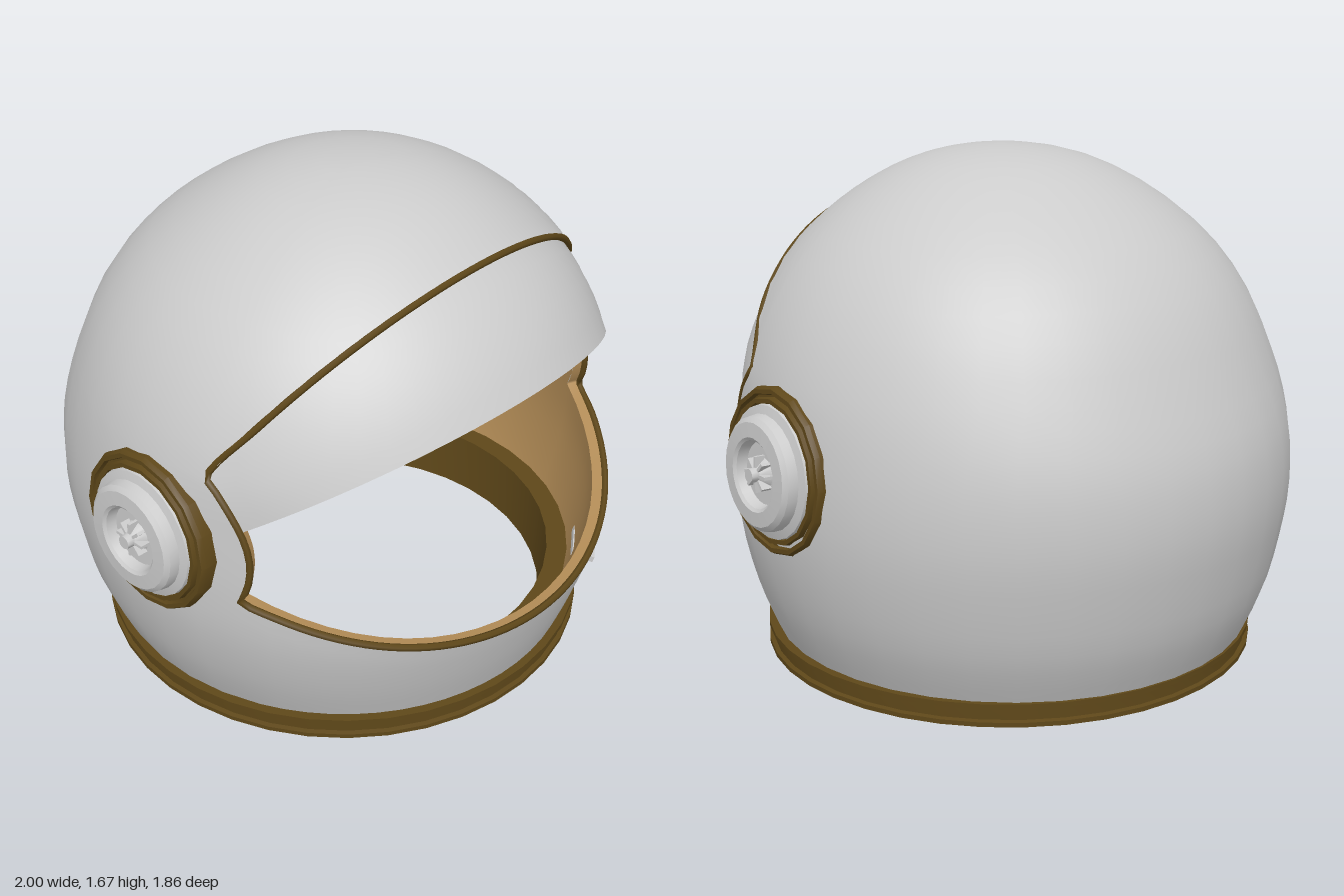
import * as THREE from 'three';
import { mergeGeometries, mergeVertices, toCreasedNormals } from 'three/addons/utils/BufferGeometryUtils.js';

const V2 = (x, y) => new THREE.Vector2(x, y);
const mat = (color) => new THREE.MeshStandardMaterial({ color, side: THREE.DoubleSide });

// Horizontal sections of the shell: height, half width, front z, back z.
// The last row mirrors the one below the crown so the top stays round.
const rows = [
  [0.07, 0.80, 0.83, -0.79], [0.23, 0.865, 0.885, -0.86], [0.42, 0.91, 0.935, -0.905],
  [0.60, 0.925, 0.945, -0.93], [0.80, 0.915, 0.945, -0.915], [1.01, 0.88, 0.92, -0.84],
  [1.22, 0.79, 0.83, -0.74], [1.40, 0.65, 0.69, -0.59], [1.55, 0.45, 0.50, -0.38],
  [1.64, 0.24, 0.30, -0.17], [1.67, 0, 0.07, 0.07], [1.64, -0.24, -0.17, 0.30],
];
const LOW = 3, HIGH = 5, CROWN = 10;
const widths = new THREE.SplineCurve(rows.map((r) => V2(r[0], r[1])));
const depths = new THREE.SplineCurve(rows.map((r) => V2(r[2], r[3])));

// Angle of the opening's side edge at row v
function edgeAngle(v) {
  const k = THREE.MathUtils.clamp(v, LOW, HIGH);
  const d = depths.getPoint(k / 11), e = k - 4;
  const z = 0.42 - 0.06 * e - 0.08 * e * e;
  return Math.acos((z - (d.x + d.y) / 2) / ((d.x - d.y) / 2));
}

// Point on the shell: c 0..1 runs across the front, 1..2 around the back
function shellPoint(v, c, inset = 0) {
  const w = widths.getPoint(v / 11), d = depths.getPoint(v / 11);
  const e = edgeAngle(v), k = 1 - inset / 0.92;
  const a = c <= 1 ? (2 * c - 1) * e : e + (c - 1) * (2 * Math.PI - 2 * e);
  const y = w.x > 0.75 ? 0.75 + (w.x - 0.75) * k : w.x;
  const mid = (d.x + d.y) / 2, r = (d.x - d.y) / 2;
  return new THREE.Vector3(w.y * k * Math.sin(a), y, 0.03 + (mid - 0.03 + r * Math.cos(a)) * k);
}

// Row at which column c crosses the sloping plane y = y0 + slope * (z - z0)
function cut(c, lo, hi, y0, z0, slope) {
  for (let i = 0; i < 40; i++) {
    const m = (lo + hi) / 2, p = shellPoint(m, c);
    if (p.y - y0 - slope * (p.z - z0) < 0) lo = m; else hi = m;
  }
  return (lo + hi) / 2;
}
const lowerEdge = (c) => (c <= 0 || c >= 1 ? LOW : cut(c, 0, LOW, 0.60, 0.40, -0.434));
const upperEdge = (c) => (c <= 0 || c >= 1 ? HIGH : cut(c, HIGH, CROWN, 1.01, 0.28, 1.62));
const visorEdge = (c) => cut(c, LOW, upperEdge(c), 0.85, 0.40, 0.717);

// Grid surface from fn(s, t), s and t in 0..1
function sheet(fn, nu, nv) {
  const pos = [], idx = [];
  for (let j = 0; j <= nv; j++)
    for (let i = 0; i <= nu; i++) pos.push(...fn(i / nu, j / nv).toArray());
  for (let j = 0; j < nv; j++)
    for (let i = 0; i < nu; i++) {
      const a = j * (nu + 1) + i, b = a + nu + 1;
      idx.push(a, a + 1, b, a + 1, b + 1, b);
    }
  const g = new THREE.BufferGeometry();
  g.setAttribute('position', new THREE.Float32BufferAttribute(pos, 3));
  g.setIndex(idx);
  g.computeVertexNormals();
  return g;
}

// Whole shell layer: band under the opening, band behind it, dome above it
function shellLayer(inset) {
  const g = mergeGeometries([
    sheet((s, t) => shellPoint(t * lowerEdge(2 * s), 2 * s, inset), 48, 8),
    sheet((s, t) => shellPoint(LOW + t * (HIGH - LOW), 1 + s, inset), 24, 6),
    sheet((s, t) => {
      const v = upperEdge(2 * s);
      return shellPoint(v + t * (CROWN - v), 2 * s, inset);
    }, 48, 12),
  ]);
  g.deleteAttribute('normal');
  const merged = mergeVertices(g, 1e-4);
  merged.computeVertexNormals();
  return merged;
}

// Point on the outline of the opening, s 0..4: bottom, left, top, right
function openingPoint(s, inset) {
  const k = s % 1;
  if (s < 1) return shellPoint(lowerEdge(k), k, inset);
  if (s < 2) return shellPoint(LOW + k * (HIGH - LOW), 1, inset);
  if (s < 3) return shellPoint(upperEdge(1 - k), 1 - k, inset);
  return shellPoint(HIGH - k * (HIGH - LOW), 0, inset);
}

function lathe(points, segments) {
  return toCreasedNormals(new THREE.LatheGeometry(points.map((p) => V2(...p)), segments), 0.6);
}

export function createModel() {
  const model = new THREE.Group();
  const grey = mat(0xcccccc), tan = mat(0xb08a55), brown = mat(0x5e4719);
  const add = (name, geometry, material, parent = model) => {
    const mesh = new THREE.Mesh(geometry, material);
    mesh.name = name;
    parent.add(mesh);
    return mesh;
  };

  add('outerShell', shellLayer(0), grey);
  add('innerLining', shellLayer(0.05), tan);

  // Raised visor hanging from the top of the opening
  add('visor', sheet((s, t) => {
    const v = visorEdge(s);
    return shellPoint(v + t * (upperEdge(s) - v), s, 0.015);
  }, 24, 6), grey);

  // Rim closing the shell thickness, with a thin trim along its outer edge
  add('openingRim', sheet((s, t) => openingPoint((s * 4) % 4, 0.05 * t), 96, 1), tan);
  const outline = [];
  for (let i = 0; i < 64; i++) outline.push(openingPoint(i / 16, 0.006));
  const path = new THREE.CatmullRomCurve3(outline, true);
  add('openingTrim', new THREE.TubeGeometry(path, 128, 0.012, 6, true), brown);

  // Neck ring with two outer lips and a tall inner wall
  const ring = add('neckRing', lathe([
    [0.70, 0], [0.83, 0], [0.83, 0.015], [0.815, 0.018], [0.815, 0.057], [0.83, 0.06],
    [0.83, 0.076], [0.77, 0.078], [0.79, 0.2], [0.72, 0.2], [0.70, 0],
  ], 40), brown);
  ring.position.z = 0.03;

  // Round ear pieces on both sides
  for (const side of [1, -1]) {
    const ear = new THREE.Group();
    ear.name = side > 0 ? 'leftEarPiece' : 'rightEarPiece';
    ear.position.set(0, 0.73, 0.065);
    ear.rotation.y = side > 0 ? 0 : Math.PI;
    const pod = new THREE.Group();
    pod.position.x = 0.87;
    pod.rotation.z = 0.04 - Math.PI / 2;
    ear.add(pod);
    add('earRing', lathe([
      [0.265, -0.05], [0.27, 0.035], [0.262, 0.05], [0.248, 0.05], [0.243, 0.036],
      [0.236, 0.036], [0.232, 0.055], [0.218, 0.055], [0.212, 0.03],
    ], 16), brown, pod);
    add('earCap', lathe([
      [0.216, 0.03], [0.212, 0.06], [0.185, 0.068], [0.18, 0.1], [0.165, 0.113],
      [0.118, 0.116], [0.108, 0.108], [0.10, 0.075], [0, 0.075],
    ], 24), grey, pod);
    add('earHub', lathe([[0.055, 0.07], [0.024, 0.105], [0.022, 0.13], [0, 0.13]], 12), grey, pod);
    for (let i = 0; i < 8; i++) {
      const fin = add('hubFin', new THREE.BoxGeometry(0.04, 0.035, 0.01), grey, pod);
      const a = (i * Math.PI) / 4;
      fin.position.set(0.038 * Math.cos(a), 0.092, 0.038 * Math.sin(a));
      fin.rotation.y = -a;
    }
    model.add(ear);
  }

  // Small turning knob on the left of the chin
  const knob = new THREE.Group();
  knob.name = 'chinKnob';
  knob.position.set(0.495, 0.23, 0.715);
  knob.rotation.set(0.28, 0.62, 0, 'YXZ');
  add('knobDome', new THREE.SphereGeometry(1, 12, 8), grey, knob).scale.set(0.075, 0.1, 0.035);
  add('knobBar', new THREE.BoxGeometry(0.14, 0.022, 0.08), grey, knob);
  model.add(knob);

  return model;
}
